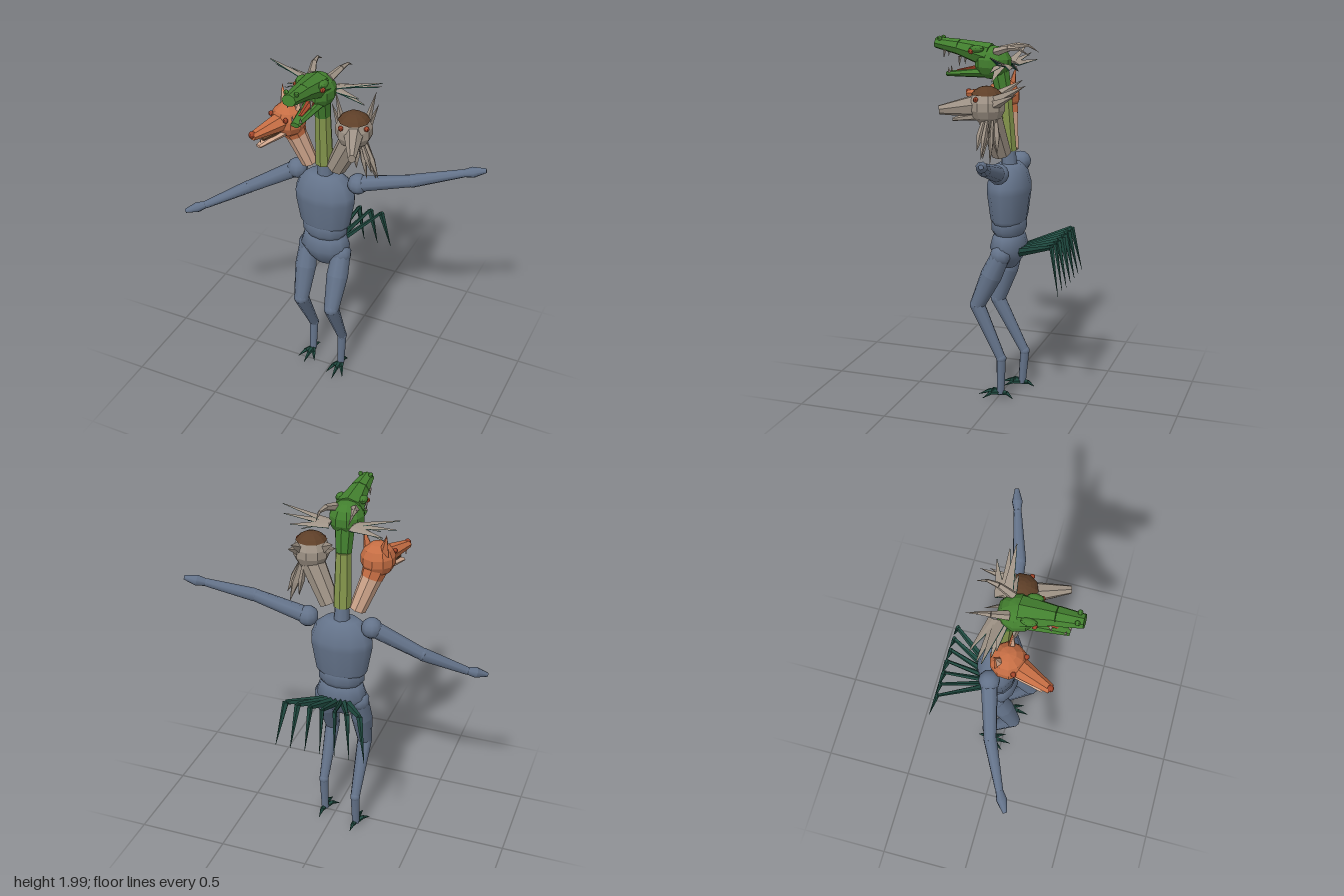
import * as THREE from 'three';

const mat = (name, color, flatShading = true) => {
  const m = new THREE.MeshStandardMaterial({ color, flatShading });
  m.name = name;
  return m;
};
const slate = mat('slate', 0x64738a, false);
const pine = mat('pine', 0x1f4a40);
const green = mat('green', 0x43802f);
const olive = mat('olive', 0x84964c);
const orange = mat('orange', 0xc66e44);
const tan = mat('tan', 0xd0a68c);
const stone = mat('stone', 0x9f9386);
const brown = mat('brown', 0x5e3f28);
const rust = mat('rust', 0xa3452a);

const V = (p) => new THREE.Vector3(...p);
const UP = new THREE.Vector3(0, 1, 0);

function add(parent, name, geometry, material, pos = [0, 0, 0], scale = [1, 1, 1]) {
  const m = new THREE.Mesh(geometry, material);
  m.name = name;
  m.position.set(...pos);
  m.scale.set(...scale);
  parent.add(m);
  return m;
}

// Tapered round bar from a to b; sx and sz squash its cross-section
function limb(parent, name, a, b, r0, r1, material, sides = 8, sx = 1, sz = 1) {
  const d = V(b).sub(V(a));
  const g = new THREE.CylinderGeometry(r1, r0, d.length(), sides);
  const mid = V(a).add(V(b)).multiplyScalar(0.5);
  const m = add(parent, name, g, material, mid.toArray(), [sx, 1, sz]);
  m.quaternion.setFromUnitVectors(UP, d.normalize());
  return m;
}

const ball = (parent, name, p, r, material, scale) =>
  add(parent, name, new THREE.SphereGeometry(r, 10, 7), material, p, scale);

// Oval body section turned from [radius, height] pairs
function turned(parent, name, profile, depth) {
  const g = new THREE.LatheGeometry(profile.map(([r, y]) => new THREE.Vector2(r, y)), 12);
  return add(parent, name, g, slate, [-0.045, 0, -0.03], [1, 1, depth]);
}

// Curved horn made of tapering pieces
function horn(parent, name, points, r, material) {
  for (let i = 0; i < points.length - 1; i++) {
    const n = points.length - 1;
    limb(parent, name, points[i], points[i + 1], r * (1 - i / n), r * (1 - (i + 1) / n), material, 5);
  }
}

function group(parent, name, pos, yaw) {
  const g = new THREE.Group();
  g.name = name;
  g.position.set(...pos);
  g.rotation.y = yaw;
  parent.add(g);
  return g;
}

function arm(parent, name, shoulder, elbow, wrist, tip) {
  const g = group(parent, name, [0, 0, 0], 0);
  ball(g, 'shoulder', shoulder, 0.057, slate);
  limb(g, 'upperArm', shoulder, elbow, 0.046, 0.034, slate);
  ball(g, 'elbow', elbow, 0.035, slate);
  limb(g, 'forearm', elbow, wrist, 0.036, 0.022, slate);
  ball(g, 'wrist', wrist, 0.022, slate);
  const mid = V(wrist).lerp(V(tip), 0.45).toArray();
  limb(g, 'hand', wrist, mid, 0.019, 0.029, slate);
  limb(g, 'fingers', mid, tip, 0.029, 0.012, slate);
}

function leg(parent, name, hip, knee, ankle, foot) {
  const g = group(parent, name, [0, 0, 0], 0);
  ball(g, 'hip', hip, 0.058, slate);
  const mid = V(hip).lerp(V(knee), 0.4).toArray();
  limb(g, 'thigh', hip, mid, 0.052, 0.06, slate, 10);
  limb(g, 'thigh', mid, knee, 0.06, 0.042, slate, 10);
  ball(g, 'knee', knee, 0.043, slate);
  limb(g, 'shin', knee, ankle, 0.043, 0.027, slate);
  ball(g, 'ankle', ankle, 0.029, slate);
  limb(g, 'lowerShin', ankle, foot, 0.027, 0.022, slate);
  // Bird-like foot: three front claws and one behind
  const [x, y, z] = foot;
  for (const [dx, dz] of [[-0.055, 0.09], [0, 0.13], [0.05, 0.09], [0.01, -0.075]]) {
    const knuckle = [x + dx * 0.5, y + 0.008, z + dz * 0.5];
    limb(g, 'claw', [x, y + 0.005, z], knuckle, 0.017, 0.012, pine, 5);
    limb(g, 'claw', knuckle, [x + dx, 0.012, z + dz], 0.012, 0.001, pine, 5);
  }
}

function dragonHead(parent) {
  limb(parent, 'dragonNeck', [-0.045, 1.4, -0.02], [-0.043, 1.7, 0], 0.05, 0.043, olive, 8);
  limb(parent, 'dragonNape', [-0.043, 1.7, 0], [-0.04, 1.86, 0.03], 0.044, 0.055, green, 8);
  const h = group(parent, 'dragonHead', [-0.04, 0, 0], 0);
  ball(h, 'skull', [0, 1.87, 0.06], 0.1, green, [0.95, 0.9, 1]);
  limb(h, 'muzzle', [0, 1.905, 0.08], [0, 1.945, 0.25], 0.068, 0.043, green, 8, 1.2);
  limb(h, 'snout', [0, 1.945, 0.25], [0, 1.965, 0.38], 0.043, 0.03, green, 8, 1.25);
  limb(h, 'palate', [0, 1.875, 0.1], [0, 1.94, 0.34], 0.045, 0.02, brown, 6, 1, 0.5);
  limb(h, 'lowerJaw', [0, 1.82, 0.07], [0, 1.8, 0.32], 0.055, 0.022, green, 8, 1.1, 0.6);
  limb(h, 'tongue', [0, 1.85, 0.1], [0, 1.82, 0.26], 0.03, 0.012, rust, 6, 1, 0.5);
  for (const s of [-1, 1]) {
    ball(h, 'nostril', [s * 0.028, 1.99, 0.35], 0.013, green);
    ball(h, 'brow', [s * 0.062, 1.945, 0.13], 0.028, green, [0.8, 0.7, 1.5]);
    ball(h, 'eye', [s * 0.073, 1.932, 0.16], 0.014, rust);
    limb(h, 'fang', [s * 0.035, 1.93, 0.32], [s * 0.035, 1.89, 0.325], 0.009, 0.001, stone, 4);
    limb(h, 'fang', [s * 0.045, 1.9, 0.23], [s * 0.045, 1.85, 0.235], 0.01, 0.001, stone, 4);
    limb(h, 'lowerFang', [s * 0.022, 1.81, 0.3], [s * 0.022, 1.84, 0.305], 0.007, 0.001, stone, 4);
    horn(h, 'horn', [[s * 0.05, 1.93, 0.03], [s * 0.075, 1.955, -0.05],
      [s * 0.085, 1.955, -0.11], [s * 0.085, 1.92, -0.17]], 0.024, stone);
    // Frill quills: pale above, dark below
    for (const [x, y, z] of [[0.315, 1.935, -0.03], [0.3, 1.895, -0.06], [0.245, 1.865, -0.11],
      [0.225, 1.8, -0.01], [0.2, 1.84, 0.01]]) {
      const base = [s * 0.06, 1.865, z * 0.4];
      limb(h, 'quill', base, [s * x, y, z], 0.028, 0.001, stone, 4, 0.16);
      limb(h, 'quillUnderside', [base[0], base[1] - 0.005, base[2] + 0.004],
        [s * x, y - 0.003, z + 0.002], 0.028, 0.001, pine, 4, 0.16);
    }
  }
}

function foxHead(parent) {
  limb(parent, 'foxNeck', [-0.125, 1.39, -0.01], [-0.195, 1.59, 0.03], 0.046, 0.058, tan, 8);
  limb(parent, 'foxNape', [-0.188, 1.57, 0.025], [-0.21, 1.65, 0.05], 0.06, 0.07, orange, 8);
  const h = group(parent, 'foxHead', [-0.21, 1.66, 0.06], -0.36);
  ball(h, 'skull', [0, 0.005, 0], 0.094, orange);
  limb(h, 'snout', [0, 0.01, 0.04], [0, -0.002, 0.25], 0.062, 0.026, orange, 7, 1, 0.8);
  ball(h, 'nose', [0, 0.008, 0.248], 0.018, rust);
  limb(h, 'lowerJaw', [0, -0.045, 0.04], [0, -0.075, 0.21], 0.05, 0.018, tan, 7, 1, 0.5);
  limb(h, 'mouth', [0, -0.035, 0.05], [0, -0.045, 0.18], 0.035, 0.014, brown, 6, 1, 0.5);
  for (const s of [-1, 1]) {
    limb(h, 'ear', [s * 0.05, 0.05, -0.02], [s * 0.075, 0.165, -0.03], 0.034, 0.001, orange, 4, 1, 0.6);
    limb(h, 'innerEar', [s * 0.05, 0.06, -0.012], [s * 0.073, 0.15, -0.022], 0.026, 0.001, tan, 4, 1, 0.6);
    ball(h, 'eye', [s * 0.055, 0.04, 0.07], 0.014, rust);
    limb(h, 'tooth', [s * 0.02, -0.015, 0.21], [s * 0.02, -0.045, 0.21], 0.007, 0.001, tan, 4);
  }
}

function goatHead(parent) {
  limb(parent, 'goatNeck', [0.03, 1.4, -0.01], [0.14, 1.62, 0.02], 0.055, 0.068, stone, 8);
  const h = group(parent, 'goatHead', [0.145, 1.67, 0.03], 0.38);
  ball(h, 'skull', [0, 0, 0], 0.098, stone);
  add(h, 'crown', new THREE.SphereGeometry(0.102, 10, 4, 0, Math.PI * 2, 0, 0.95), brown, [0, 0, 0.002]);
  limb(h, 'snout', [0, 0, 0.05], [0, -0.02, 0.25], 0.062, 0.024, stone, 7, 0.85);
  limb(h, 'lowerJaw', [0, -0.05, 0.04], [0, -0.07, 0.18], 0.045, 0.015, stone, 6, 0.8, 0.6);
  for (const s of [-1, 1]) {
    ball(h, 'eye', [s * 0.065, 0.04, 0.062], 0.014, rust);
    limb(h, 'ear', [s * 0.065, 0.03, -0.04], [s * 0.105, 0.115, -0.19], 0.032, 0.001, stone, 4, 0.6);
    limb(h, 'ear', [s * 0.075, 0.01, -0.03], [s * 0.12, 0.07, -0.14], 0.028, 0.001, stone, 4, 0.6);
  }
  // Shaggy tufts hanging beside the neck
  for (const [x, y, z] of [[0.28, 1.41, 0.02], [0.25, 1.38, -0.02], [0.22, 1.4, 0.03],
    [0.19, 1.43, -0.04], [0.255, 1.45, 0.05], [0.17, 1.46, 0.05]]) {
    const top = [0.16 + (x - 0.17) * 0.35, 1.6, z * 0.6];
    const mid = V(top).lerp(V([x, y, z]), 0.5).toArray();
    limb(parent, 'tuft', top, mid, 0.014, 0.023, stone, 5, 1, 0.6);
    limb(parent, 'tuft', mid, [x, y, z], 0.023, 0.001, stone, 5, 1, 0.6);
  }
}

export function createModel() {
  const model = new THREE.Group();
  model.name = 'threeHeadedFigure';

  // Jointed mannequin body
  turned(model, 'chest', [[0, 1.0], [0.125, 1.0], [0.145, 1.03], [0.172, 1.18], [0.172, 1.22],
    [0.145, 1.29], [0.095, 1.33], [0, 1.335]], 0.67);
  turned(model, 'waist', [[0, 0.92], [0.1, 0.93], [0.13, 0.97], [0.13, 1.02], [0.11, 1.06], [0, 1.06]], 0.72);
  turned(model, 'pelvis', [[0, 0.745], [0.055, 0.755], [0.11, 0.81], [0.145, 0.87], [0.125, 0.93],
    [0.1, 0.955], [0, 0.96]], 0.7);
  limb(model, 'neckStub', [-0.045, 1.32, -0.03], [-0.045, 1.41, -0.025], 0.046, 0.038, slate);

  arm(model, 'rightArm', [-0.215, 1.31, -0.04], [-0.475, 1.16, 0.035], [-0.69, 1.045, 0.14], [-0.795, 1.005, 0.2]);
  arm(model, 'leftArm', [0.145, 1.31, -0.03], [0.44, 1.395, -0.055], [0.68, 1.462, -0.13], [0.795, 1.49, -0.165]);
  leg(model, 'rightLeg', [-0.148, 0.84, -0.03], [-0.15, 0.52, 0.07], [-0.15, 0.22, -0.09], [-0.15, 0.025, -0.075]);
  leg(model, 'leftLeg', [0.058, 0.84, -0.015], [0.062, 0.545, 0.12], [0.065, 0.245, -0.02], [0.06, 0.035, -0.015]);

  // Fan of bent tail quills
  for (let i = -3; i <= 3; i++) {
    const t = i / 3;
    const root = [-0.045 + t * 0.055, 0.85, -0.1];
    const bend = [-0.045 + t * 0.205, 0.942, -0.33];
    limb(model, 'tailQuill', root, bend, 0.026, 0.014, pine, 5, 0.6);
    limb(model, 'tailQuillTip', bend, [-0.045 + t * 0.25, 0.69, -0.38], 0.018, 0.001, pine, 5, 0.7);
  }

  dragonHead(model);
  foxHead(model);
  goatHead(model);
  return model;
}
